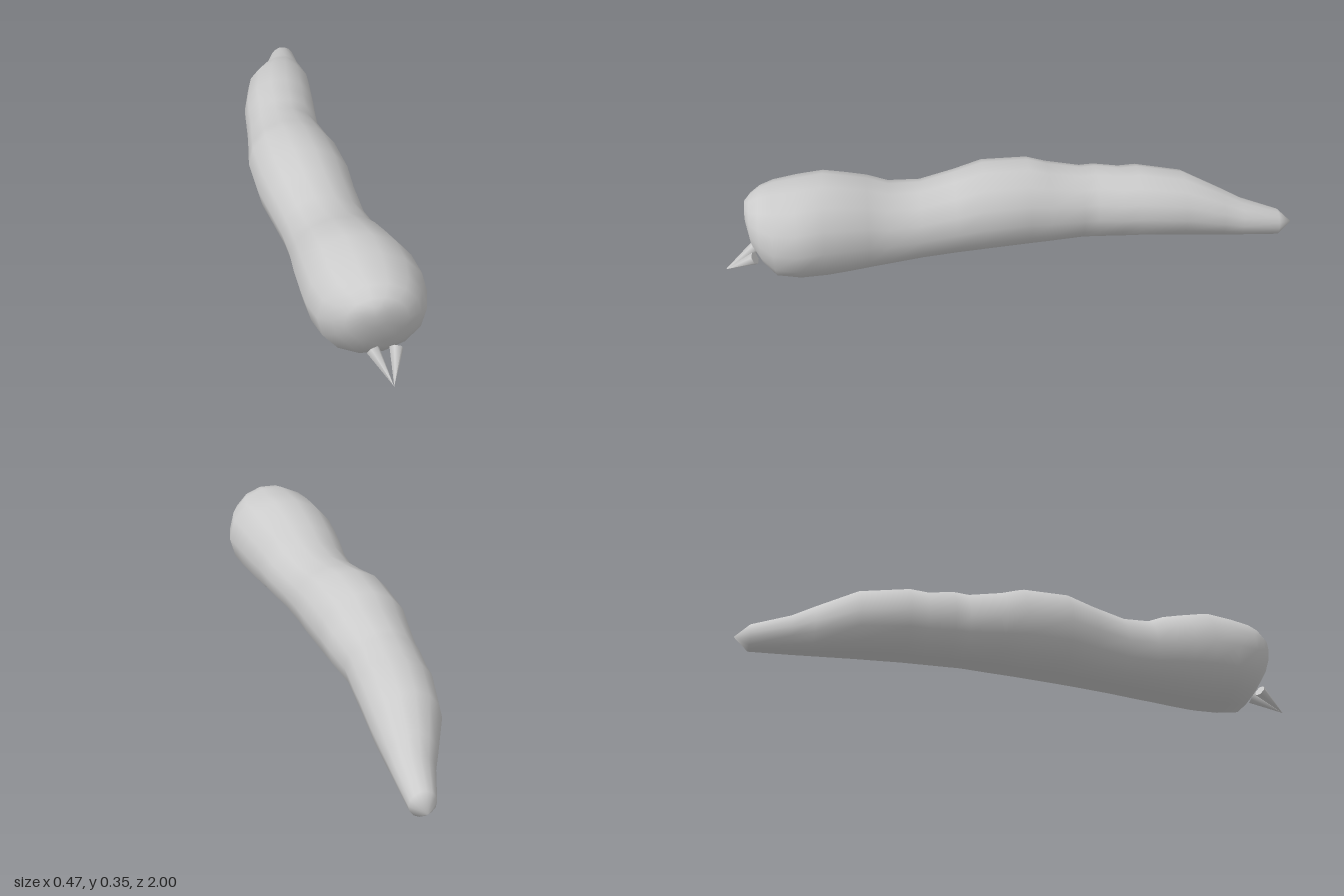
import * as THREE from 'three';

const material = new THREE.MeshStandardMaterial({ color: 0xcccccc, side: THREE.DoubleSide });
const SIDES = 14;

// Outline from above: z, right edge (-x), left edge (+x)
const plan = [
  [-0.95, -0.055, 0.035], [-0.83, -0.09, 0.04], [-0.62, -0.18, 0.055], [-0.48, -0.21, 0.05],
  [-0.25, -0.22, 0.042], [-0.04, -0.238, 0.085], [0.12, -0.222, 0.105], [0.28, -0.175, 0.11],
  [0.42, -0.16, 0.145], [0.62, -0.16, 0.212], [0.76, -0.145, 0.237], [0.82, -0.122, 0.217],
  [0.865, -0.085, 0.19], [0.897, -0.05, 0.145], [0.915, 0.0, 0.08],
];
// Outline from the side: z, belly height, wavy back height
const side = [
  [-0.95, 0, 0.09], [-0.82, 0, 0.13], [-0.75, 0, 0.163], [-0.61, 0, 0.225], [-0.45, 0, 0.245],
  [-0.39, 0, 0.239], [-0.3, 0, 0.252], [-0.25, 0, 0.247], [-0.13, 0, 0.272], [-0.06, 0, 0.295],
  [0.1, 0, 0.303], [0.2, 0, 0.28], [0.32, 0, 0.26], [0.43, 0, 0.272], [0.5, 0, 0.305],
  [0.57, 0, 0.325], [0.65, 0, 0.346], [0.74, 0.007, 0.34], [0.82, 0.018, 0.333],
  [0.865, 0.075, 0.322], [0.897, 0.13, 0.298], [0.915, 0.2, 0.28],
];

// Linear lookup of a profile at z
function sample(profile, z) {
  let i = 0;
  while (i < profile.length - 2 && profile[i + 1][0] < z) i++;
  const a = profile[i], b = profile[i + 1];
  const t = THREE.MathUtils.clamp((z - a[0]) / (b[0] - a[0]), 0, 1);
  return [1, 2].map((k) => THREE.MathUtils.lerp(a[k], b[k], t));
}

// Closed skin lofted through oval rings, with a point at each end
function bodyGeometry() {
  const positions = [], index = [];
  for (const [z, bottom, top] of side) {
    const [x0, x1] = sample(plan, z);
    const ry = (top - bottom) / 2 / Math.cos(Math.PI / SIDES);
    for (let j = 0; j < SIDES; j++) {
      const a = (j / SIDES) * Math.PI * 2;
      positions.push((x0 + x1) / 2 + ((x1 - x0) / 2) * Math.cos(a), (bottom + top) / 2 + ry * Math.sin(a), z);
    }
  }
  const tail = side.length * SIDES, nose = tail + 1, last = tail - SIDES;
  positions.push(-0.01, 0.042, -1, 0.04, 0.24, 0.918);
  for (let j = 0; j < SIDES; j++) {
    const k = (j + 1) % SIDES;
    for (let r = 0; r < last; r += SIDES) {
      index.push(r + j, r + k, r + SIDES + j, r + k, r + SIDES + k, r + SIDES + j);
    }
    index.push(tail, k, j, nose, last + j, last + k);
  }
  const geometry = new THREE.BufferGeometry();
  geometry.setAttribute('position', new THREE.Float32BufferAttribute(positions, 3));
  geometry.setIndex(index);
  geometry.computeVertexNormals();
  return geometry;
}

// Cone running from its base centre to its tip
function fang(name, base, tip) {
  const axis = tip.clone().sub(base);
  const mesh = new THREE.Mesh(new THREE.ConeGeometry(0.022, axis.length(), 6), material);
  mesh.name = name;
  mesh.position.copy(base).addScaledVector(axis, 0.5);
  mesh.quaternion.setFromUnitVectors(new THREE.Vector3(0, 1, 0), axis.normalize());
  return mesh;
}

export function createModel() {
  const group = new THREE.Group();
  group.name = 'grub';

  const body = new THREE.Mesh(bodyGeometry(), material);
  body.name = 'body';
  group.add(body);

  // Two mandibles meeting at one point
  const tip = new THREE.Vector3(0.085, 0.035, 1);
  group.add(fang('rightMandible', new THREE.Vector3(0.038, 0.092, 0.893), tip));
  group.add(fang('leftMandible', new THREE.Vector3(0.11, 0.094, 0.893), tip));
  return group;
}
